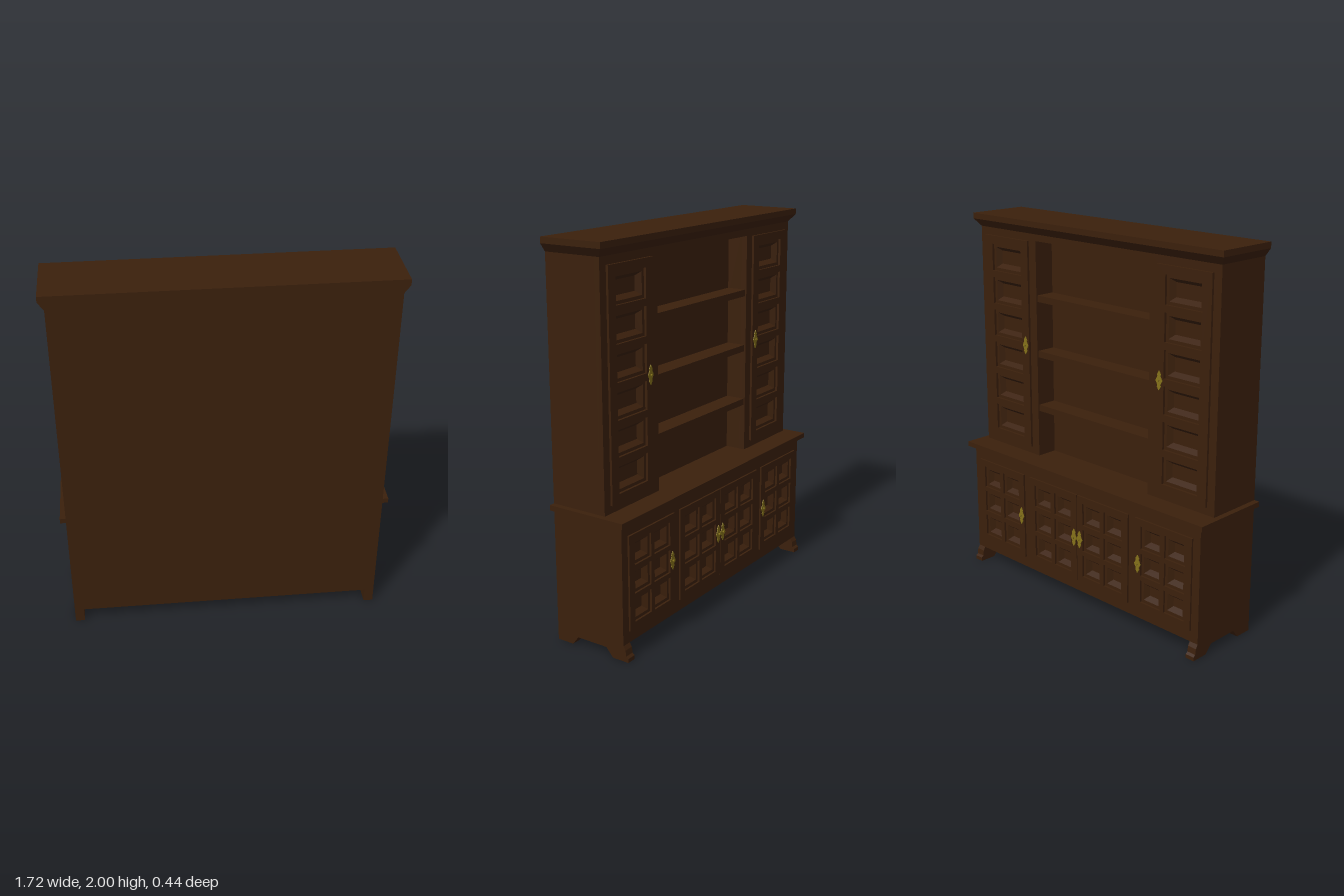
import * as THREE from 'three';

export function createModel() {
  const wood = new THREE.MeshStandardMaterial({ color: 0x3b200c });
  wood.name = 'dark wood';
  const brass = new THREE.MeshStandardMaterial({ color: 0x85721a });
  brass.name = 'brass';

  const model = new THREE.Group();
  model.name = 'cabinet';
  // Built with the doors towards +z, then turned so that they face -z
  const body = new THREE.Group();
  body.name = 'cabinetBody';
  body.rotation.y = Math.PI;
  model.add(body);

  const add = (name, geo, mat = wood, parent = body) => {
    const m = new THREE.Mesh(geo, mat);
    m.name = name;
    parent.add(m);
    return m;
  };
  const box = (name, x0, x1, y0, y1, z0, z1) =>
    add(name, new THREE.BoxGeometry(x1 - x0, y1 - y0, z1 - z0)
      .translate((x0 + x1) / 2, (y0 + y1) / 2, (z0 + z1) / 2));
  const rect = (P, [x0, x1, y0, y1]) => {
    const p = new P();
    p.moveTo(x0, y0); p.lineTo(x1, y0); p.lineTo(x1, y1); p.lineTo(x0, y1); p.closePath();
    return p;
  };
  // Flat board with rectangular holes
  const board = (name, outer, holes, z0, z1) => {
    const s = rect(THREE.Shape, outer);
    s.holes = holes.map(h => rect(THREE.Path, h));
    return add(name, new THREE.ExtrudeGeometry(s, { depth: z1 - z0, bevelEnabled: false }).translate(0, 0, z0));
  };

  // Sunken panel: flat ledge, sloping sides and a floor
  const sunkenPanel = ([x0, x1, y0, y1], z) => {
    const loop = (i, d) => [[x0 + i, y0 + i, d], [x1 - i, y0 + i, d], [x1 - i, y1 - i, d], [x0 + i, y1 - i, d]];
    const loops = [loop(0, z), loop(0.016, z), loop(0.036, z - 0.026)];
    const pos = [];
    const quad = (a, b, c, d) => pos.push(...a, ...b, ...c, ...a, ...c, ...d);
    for (let k = 0; k < 2; k++) for (let i = 0; i < 4; i++) {
      const j = (i + 1) % 4;
      quad(loops[k][i], loops[k][j], loops[k + 1][j], loops[k + 1][i]);
    }
    quad(...loops[2]);
    const g = new THREE.BufferGeometry();
    g.setAttribute('position', new THREE.Float32BufferAttribute(pos, 3));
    g.computeVertexNormals();
    add('sunkenPanel', g);
  };

  // Grid of panel openings inside a door rectangle
  const grid = ([x0, x1, y0, y1], cols, rows, mx, my, gap) => {
    const w = (x1 - x0 - 2 * mx - (cols - 1) * gap) / cols;
    const h = (y1 - y0 - 2 * my - (rows - 1) * gap) / rows;
    const cells = [];
    for (let c = 0; c < cols; c++) for (let r = 0; r < rows; r++) {
      const x = x0 + mx + c * (w + gap), y = y0 + my + r * (h + gap);
      cells.push([x, x + w, y, y + h]);
    }
    return cells;
  };

  // Diamond plate with pointed ends and a small knob
  const handle = (x, y, z) => {
    const g = new THREE.Group();
    g.name = 'handle';
    g.position.set(x, y, z);
    const s = new THREE.Shape();
    [[0, -0.05], [0.012, -0.03], [0.009, -0.022], [0.021, 0], [0.009, 0.022], [0.012, 0.03], [0, 0.05],
      [-0.012, 0.03], [-0.009, 0.022], [-0.021, 0], [-0.009, -0.022], [-0.012, -0.03]]
      .forEach(([u, v], i) => (i ? s.lineTo(u, v) : s.moveTo(u, v)));
    add('handlePlate', new THREE.ExtrudeGeometry(s, { depth: 0.004, bevelEnabled: false }), brass, g);
    add('handleKnob', new THREE.CylinderGeometry(0.007, 0.004, 0.012, 8)
      .rotateX(Math.PI / 2).translate(0, 0, 0.008), brass, g);
    body.add(g);
  };

  const back = -0.218;

  // Hollow base, open underneath
  box('baseBack', -0.82, 0.82, 0.08, 0.693, back, back + 0.012);
  box('counter', -0.86, 0.86, 0.693, 0.72, back, 0.219);

  // Bracket feet flaring at the front, with thin side panels above
  const foot = new THREE.Shape();
  [[back, 0], [-0.125, 0], [-0.09, 0.045], [0.085, 0.045], [0.125, 0], [0.218, 0], [0.218, 0.02],
    [0.206, 0.03], [0.202, 0.06], [0.19, 0.08], [back, 0.08]]
    .forEach(([u, v], i) => (i ? foot.lineTo(u, v) : foot.moveTo(u, v)));
  for (const s of [-1, 1]) {
    add('bracketFoot', new THREE.ExtrudeGeometry(foot, { depth: 0.05, bevelEnabled: false })
      .rotateY(-Math.PI / 2).translate(s > 0 ? 0.83 : -0.78, 0, 0));
    box('baseSide', s * 0.825 - 0.005, s * 0.825 + 0.005, 0.08, 0.693, back, 0.19);
  }

  // Base doors
  const baseDoors = [[-0.785, -0.415, 0.14, 0.63], [-0.367, -0.002, 0.14, 0.63],
    [0.002, 0.367, 0.14, 0.63], [0.415, 0.785, 0.14, 0.63]];
  const baseCells = baseDoors.map(d => grid(d, 2, 3, 0.04, 0.037, 0.025));
  board('baseFaceFrame', [-0.82, 0.82, 0.08, 0.693], baseCells.flat(), 0.162, 0.19);
  baseDoors.forEach((d, i) => {
    board('baseDoor', d, baseCells[i], 0.19, 0.2);
    baseCells[i].forEach(c => sunkenPanel(c, 0.189));
  });
  for (const x of [-0.437, -0.021, 0.021, 0.437]) handle(x, 0.385, 0.2);

  // Upper cabinet: two door towers around open shelves
  box('shelfBack', -0.4, 0.4, 0.72, 1.93, back, -0.02);
  box('shelfHeader', -0.4, 0.4, 1.895, 1.93, -0.02, 0.094);
  for (const y of [1.01, 1.31, 1.61]) box('shelf', -0.4, 0.4, y - 0.035, y, -0.02, 0.086);
  for (const s of [-1, 1]) {
    const span = (a, b) => (s > 0 ? [a, b] : [-b, -a]);
    box('tower', ...span(0.4, 0.83), 0.72, 1.93, back, 0.064);
    const door = [...span(0.452, 0.785), 0.76, 1.89];
    const cells = grid(door, 1, 6, 0.053, 0.045, 0.036);
    board('towerFaceFrame', [...span(0.4, 0.83), 0.72, 1.93], cells, 0.064, 0.094);
    board('towerDoor', door, cells, 0.094, 0.106);
    cells.forEach(c => sunkenPanel(c, 0.093));
    handle(s * 0.478, 1.33, 0.106);
  }

  // Crown moulding, sloping out to the top board
  const slope = new THREE.BoxGeometry(1.72, 0.04, 0.125 - back).translate(0, 1.95, (0.125 + back) / 2);
  const p = slope.attributes.position;
  for (let i = 0; i < p.count; i++) {
    if (p.getY(i) > 1.95) continue;
    p.setX(i, Math.sign(p.getX(i)) * 0.83);
    if (p.getZ(i) > 0) p.setZ(i, 0.094);
  }
  const crown = slope.toNonIndexed();
  crown.computeVertexNormals();
  add('crownMoulding', crown);
  box('topBoard', -0.86, 0.86, 1.97, 2, back, 0.125);

  return model;
}
